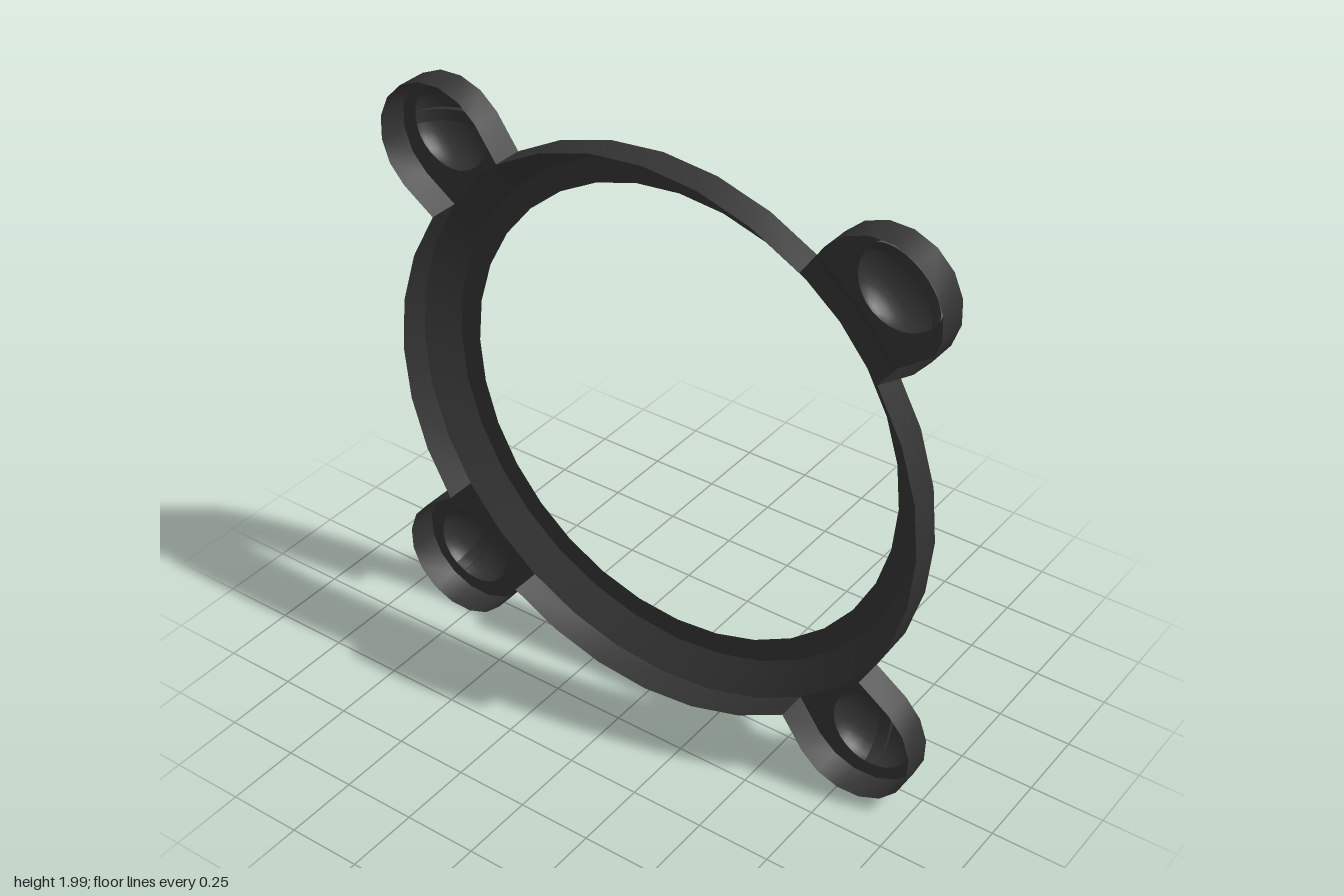
import * as THREE from 'three';
import { toCreasedNormals } from 'three/addons/utils/BufferGeometryUtils.js';

const R = 0.97, BACK = -0.105, SEGS = 32;
const STEP = (Math.PI * 2) / SEGS;
const rad = THREE.MathUtils.degToRad;
const material = new THREE.MeshStandardMaterial({ color: 0x333333, side: THREE.DoubleSide });

// Skin a list of equally long point rows
function loft(rows) {
  const n = rows[0].length, index = [];
  for (let i = 0; i < rows.length - 1; i++) {
    for (let j = 0; j < n - 1; j++) {
      const a = i * n + j, b = a + n;
      index.push(a, b, a + 1, b, b + 1, a + 1);
    }
  }
  const g = new THREE.BufferGeometry();
  g.setAttribute('position', new THREE.Float32BufferAttribute(rows.flat(2), 3));
  g.setIndex(index);
  return toCreasedNormals(g, 0.55);
}

function mesh(name, geometry, parent) {
  const m = new THREE.Mesh(geometry, material);
  m.name = name;
  parent.add(m);
  return m;
}

// Sweep a [radius, z] profile round the ring between two segment numbers
function sweep(profile, from, to) {
  const rows = [];
  for (let i = from; i <= to; i++) {
    const c = Math.cos(i * STEP), s = Math.sin(i * STEP);
    rows.push(profile.map(([r, z]) => [r * c, r * s, z]));
  }
  return loft(rows);
}

// Hollow domed screw head with a slot along y
function screwHead(radius, height, slotHalf, depth) {
  const edge = Math.asin(slotHalf / radius), side = [];
  for (let i = 0; i <= 7; i++) {
    side.push([radius * Math.sin(edge + (Math.PI / 2 - edge) * (i / 7)), 0]);
  }
  const across = [
    ...side.map(([x, d]) => [-x, d]).reverse(),
    [-slotHalf, depth], [slotHalf, depth],
    ...side,
  ];
  return loft(across.map(([x, drop]) => {
    const half = Math.sqrt(Math.max(0, radius * radius - x * x));
    const row = [];
    for (let j = 0; j <= 14; j++) {
      const t = -Math.PI / 2 + (Math.PI * j) / 14;
      const z = (height * half * Math.cos(t)) / radius;
      row.push([x, half * Math.sin(t), Math.max(0, z - drop)]);
    }
    return row;
  }));
}

// Lug outline in the first quadrant, open towards the ring
function lugOutline() {
  const onRing = (i) => [R * Math.cos(i * STEP), R * Math.sin(i * STEP)];
  const pts = [onRing(3)];
  for (let i = 0; i <= 9; i++) {
    const a = rad(-52 + (194 * i) / 9);
    pts.push([0.785 + 0.214 * Math.cos(a), 0.785 + 0.214 * Math.sin(a)]);
  }
  pts.push(onRing(5));
  return { pts, inner: onRing(4) };
}

export function createModel() {
  const model = new THREE.Group();
  model.name = 'portholeFrame';

  // Built facing +z, then turned to face +x
  const frame = new THREE.Group();
  frame.name = 'frame';
  frame.rotation.y = Math.PI / 2;
  frame.position.y = 1;
  model.add(frame);

  // Bevelled ring face with a flat inner lip
  mesh('ringFace', sweep([[R, 0], [0.88, 0.08], [0.8, 0.08]], 0, SEGS), frame);

  const { pts, inner } = lugOutline();
  const shape = new THREE.Shape([...pts, inner].map(([x, y]) => new THREE.Vector2(x, y)));
  const hole = new THREE.Path();
  hole.absarc(0.805, 0.805, 0.142, 0, Math.PI * 2, true);
  shape.holes.push(hole);
  const plateGeo = new THREE.ShapeGeometry(shape, 14);
  const lugWallGeo = loft(pts.map(([x, y]) => [[x, y, BACK], [x, y, 0]]));
  const wallGeo = sweep([[R, BACK], [R, 0]], 5, 11);
  const headGeo = screwHead(0.147, 0.1, 0.02, 0.018);
  const slotAngles = [86, -50, 0, 30];

  // Four lugs, the ring wall between them, and a screw in each lug
  slotAngles.forEach((angle, k) => {
    const quarter = new THREE.Group();
    quarter.name = 'quarter' + (k + 1);
    quarter.rotation.z = (k * Math.PI) / 2;
    frame.add(quarter);
    mesh('ringWall', wallGeo, quarter);
    mesh('lugPlate', plateGeo, quarter);
    mesh('lugWall', lugWallGeo, quarter);
    const head = mesh('screwHead', headGeo, quarter);
    head.position.set(0.805, 0.805, 0);
    head.rotation.z = rad(angle - 90 * k);
  });

  return model;
}
